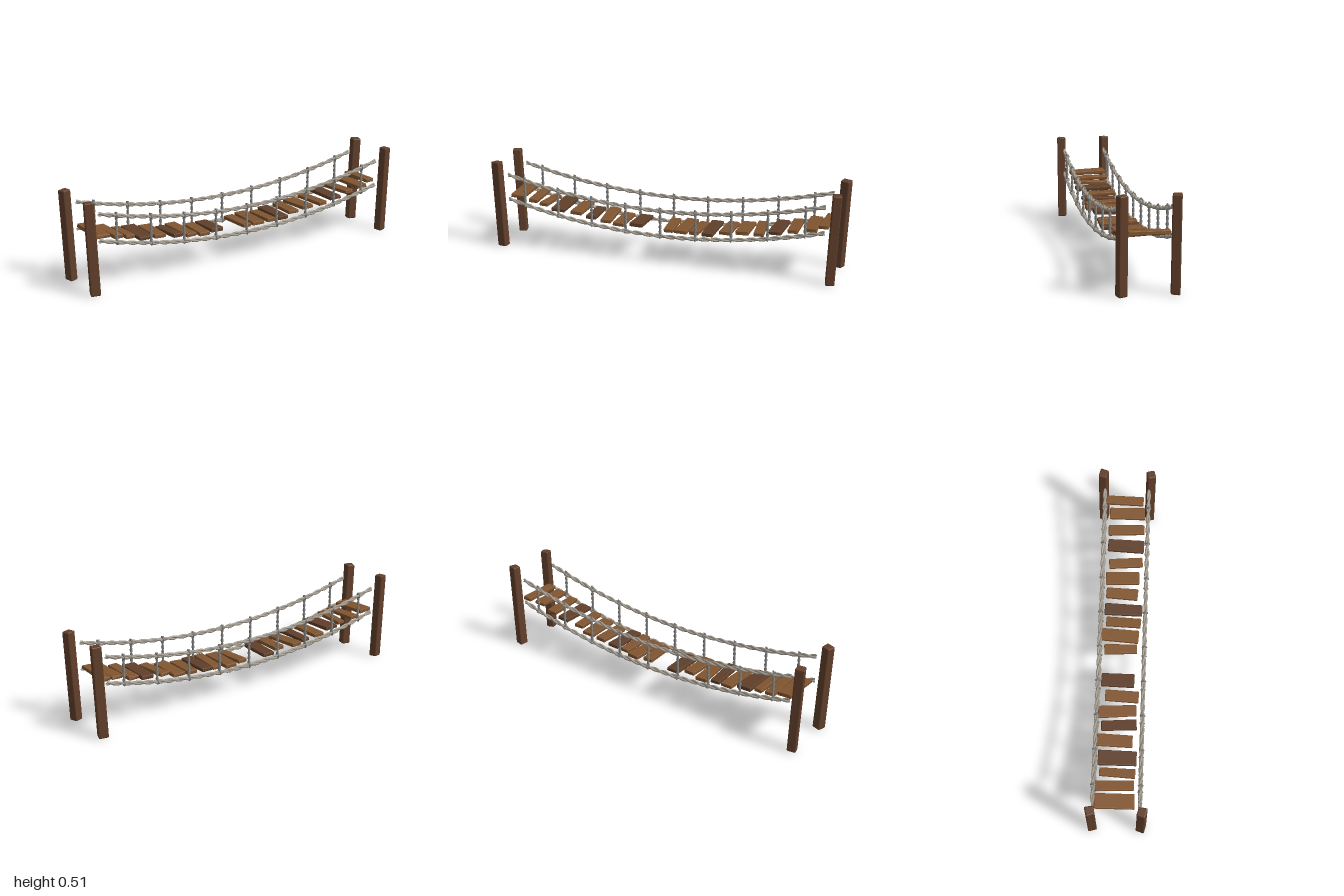
import * as THREE from 'three';
import { RoundedBoxGeometry } from 'three/addons/geometries/RoundedBoxGeometry.js';

const mat = (name, color, side = THREE.FrontSide) => {
  const m = new THREE.MeshStandardMaterial({ color, side });
  m.name = name;
  return m;
};

// height of a sagging line at x
const sag = (x, low, rise) => low + rise * (x / 0.91) ** 2;

// box with softened edges and slightly uneven, hand-hewn sides
function hewnBox(w, h, d, bevel, wobble, seed) {
  const g = new RoundedBoxGeometry(w, h, d, 2, bevel);
  const p = g.attributes.position;
  for (let i = 0; i < p.count; i++) {
    const sx = Math.sign(p.getX(i)), sy = Math.sign(p.getY(i)), sz = Math.sign(p.getZ(i));
    const k = seed * 2.3 + sx * 1.7 + sy * 2.9 + sz * 4.1;
    p.setXYZ(i,
      p.getX(i) + wobble * Math.sin(k),
      p.getY(i) + wobble * 0.6 * Math.sin(k * 1.9 + 1),
      p.getZ(i) + wobble * Math.sin(k * 2.7 + 2));
  }
  g.computeVertexNormals();
  return g;
}

// one strand winding around a centre line that lies in an x-y plane
class StrandCurve extends THREE.Curve {
  constructor(line, offset, turns, phase) {
    super();
    Object.assign(this, { line, offset, turns, phase });
  }
  getPoint(t, target = new THREE.Vector3()) {
    const c = this.line(t), a = this.line(t - 0.001), b = this.line(t + 0.001);
    const dir = b.sub(a).normalize();
    const ang = this.phase + t * this.turns * Math.PI * 2;
    const u = Math.cos(ang) * this.offset, v = Math.sin(ang) * this.offset;
    return target.set(c.x - dir.y * u, c.y + dir.x * u, c.z + v);
  }
}

function twistedRope(name, line, radius, offset, turns, material) {
  const rope = new THREE.Group();
  rope.name = name;
  for (let s = 0; s < 2; s++) {
    const curve = new StrandCurve(line, offset, turns, s * Math.PI);
    const strand = new THREE.Mesh(
      new THREE.TubeGeometry(curve, Math.round(turns * 12), radius, 6), material);
    strand.name = 'ropeStrand';
    rope.add(strand);
  }
  return rope;
}

export function createModel() {
  const bridge = new THREE.Group();
  bridge.name = 'ropeBridge';
  const postWood = mat('post wood', 0x613f2b);
  const plankWood = mat('plank wood', 0x805530);
  const darkWood = mat('dark plank wood', 0x5f3f2a);
  const ropeMat = mat('rope', 0xa49c90, THREE.DoubleSide);
  const hangerMat = mat('hanger rope', 0x858583, THREE.DoubleSide);

  // four corner posts leaning outward
  for (const sx of [-1, 1]) for (const sz of [-1, 1]) {
    const post = new THREE.Mesh(
      hewnBox(0.05, 0.503, 0.048, 0.007, 0.002, sx + sz * 2 + 4), postWood);
    post.name = 'post';
    post.rotation.set(0, sx * sz * 0.25, -sx * 0.042, 'ZYX');
    post.position.set(sx * 0.961, 0.255, sz * 0.135);
    bridge.add(post);
  }

  // planks: x centre, width, z start, z end, yaw, dark
  const planks = [
    [-0.873, 0.080, -0.12, 0.095, 0.01, 0], [-0.783, 0.056, -0.12, 0.090, 0.04, 0],
    [-0.708, 0.048, -0.10, 0.095, -0.05, 0], [-0.622, 0.080, -0.11, 0.100, 0.0, 1],
    [-0.520, 0.070, -0.12, 0.075, -0.03, 0], [-0.428, 0.056, -0.10, 0.095, 0.05, 1],
    [-0.345, 0.064, -0.12, 0.092, 0.08, 0], [-0.255, 0.066, -0.085, 0.102, -0.04, 0],
    [-0.160, 0.074, -0.11, 0.075, -0.03, 1], [0.027, 0.056, -0.10, 0.085, 0.05, 0],
    [0.108, 0.074, -0.12, 0.092, -0.06, 0], [0.188, 0.052, -0.095, 0.102, -0.05, 0],
    [0.263, 0.068, -0.106, 0.108, -0.02, 1], [0.358, 0.064, -0.10, 0.080, -0.05, 0],
    [0.450, 0.074, -0.106, 0.085, 0.02, 0], [0.540, 0.058, -0.09, 0.102, 0.09, 0],
    [0.640, 0.072, -0.10, 0.107, -0.04, 1], [0.733, 0.058, -0.10, 0.107, 0.03, 0],
    [0.828, 0.070, -0.096, 0.107, 0.02, 0], [0.902, 0.050, -0.118, 0.097, -0.03, 0],
  ];
  planks.forEach(([x, w, z0, z1, yaw, dark], i) => {
    const plank = new THREE.Mesh(
      hewnBox(w, 0.021, z1 - z0, 0.004, 0.0018, i), dark ? darkWood : plankWood);
    plank.name = 'plank';
    plank.position.set(x, sag(x, 0.186, 0.122), (z0 + z1) / 2);
    plank.rotation.set(0.035 * Math.sin(i * 2.1 + 1), yaw, x * 0.06);
    bridge.add(plank);
  });

  // hand ropes, foot ropes and the hangers between them
  for (const z of [-0.125, 0.125]) {
    for (const [name, low, rise] of [['handRope', 0.311, 0.12], ['footRope', 0.165, 0.122]]) {
      const line = t => {
        const x = (t * 2 - 1) * 0.91;
        return new THREE.Vector3(x, sag(x, low, rise), z);
      };
      bridge.add(twistedRope(name, line, 0.0068, 0.0058, 14, ropeMat));
    }
    for (let i = -4; i <= 4; i++) {
      const x = i * 0.202 - 0.002;
      const y0 = sag(x, 0.158, 0.122), y1 = sag(x, 0.329, 0.12);
      const line = t => new THREE.Vector3(x, y0 + (y1 - y0) * t, z);
      bridge.add(twistedRope('hangerRope', line, 0.0045, 0.0038, 3, hangerMat));
      // loops tying the hanger to both ropes
      for (const y of [sag(x, 0.165, 0.122), sag(x, 0.311, 0.12)]) {
        const knot = new THREE.Mesh(new THREE.TorusGeometry(0.0125, 0.0035, 6, 14), hangerMat);
        knot.name = 'knot';
        knot.rotation.y = Math.PI / 2;
        knot.position.set(x, y, z);
        bridge.add(knot);
      }
    }
  }
  return bridge;
}
